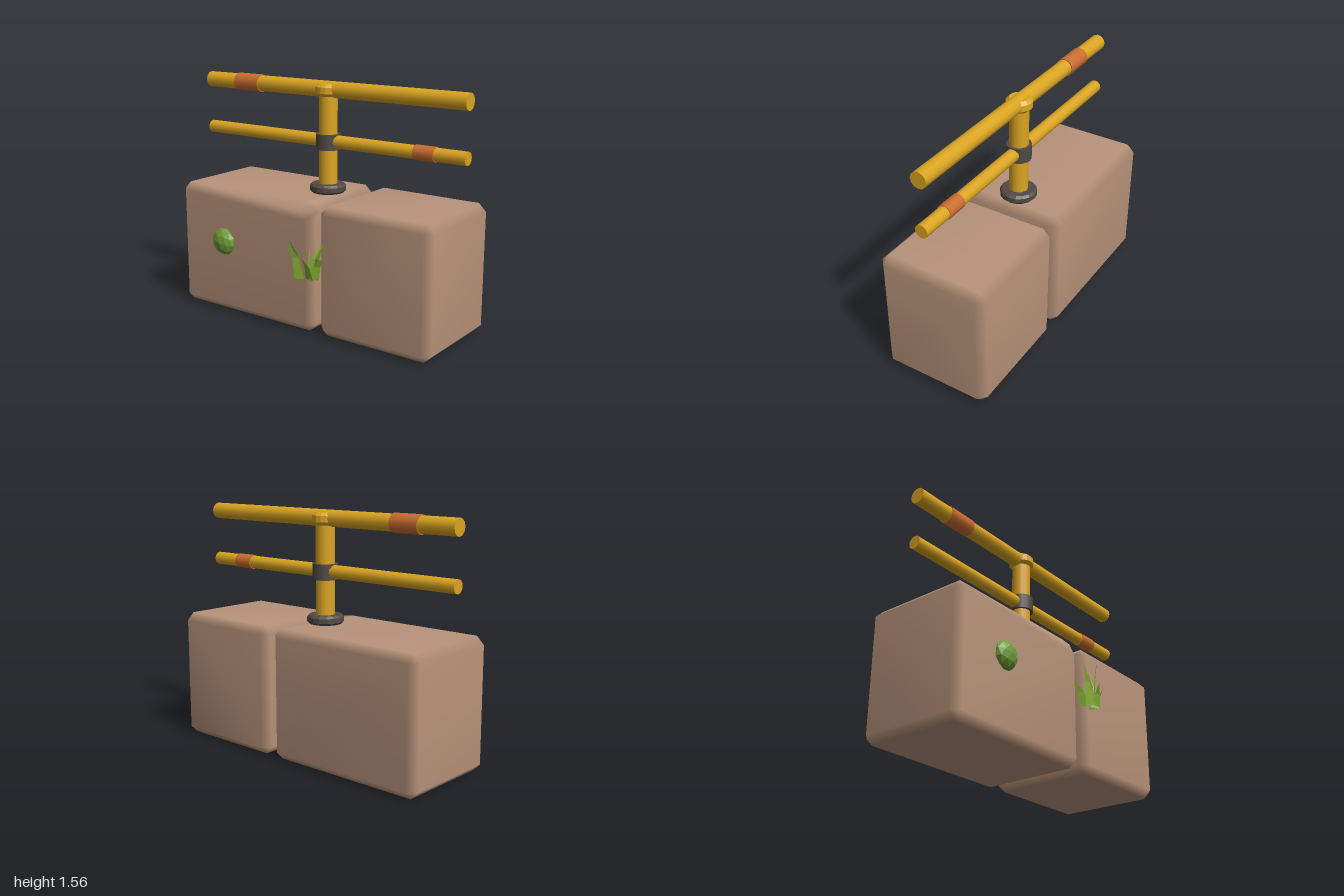
import * as THREE from 'three';
import { mergeVertices } from 'three/addons/utils/BufferGeometryUtils.js';
import { ConvexGeometry } from 'three/addons/geometries/ConvexGeometry.js';

const mat = (name, color, extra = {}) => {
  const m = new THREE.MeshStandardMaterial({ color, ...extra });
  m.name = name;
  return m;
};

export function createModel() {
  const stone = mat('stone', 0xb8937a);
  const yellow = mat('yellow paint', 0xdba521);
  const rust = mat('rust orange', 0xcb6e30);
  const iron = mat('dark iron', 0x514a44);
  const leaf = mat('bush green', 0x6f9e36, { flatShading: true });
  const blade = mat('grass green', 0x86b032, { side: THREE.DoubleSide, flatShading: true });

  const model = new THREE.Group();
  model.name = 'pipeRailing';
  const add = (name, geometry, material, x = 0, y = 0, z = 0) => {
    const mesh = new THREE.Mesh(geometry, material);
    mesh.name = name;
    mesh.position.set(x, y, z);
    model.add(mesh);
    return mesh;
  };

  // Bevelled stone blocks; area-weighted normals keep the big faces flat
  const bevel = 0.05;
  const block = (min, max, chipped) => {
    const pts = [];
    for (const sx of [0, 1]) for (const sy of [0, 1]) for (const sz of [0, 1]) {
      const s = [sx, sy, sz];
      const corner = (insets) => pts.push(new THREE.Vector3(
        ...s.map((v, i) => (v ? max[i] - insets[i] * bevel : min[i] + insets[i] * bevel))));
      if (chipped && sx && sy && sz) {
        // the chipped corner ends in a wide hexagon
        [[2, 1, 0], [1, 2, 0], [2, 0, 1], [1, 0, 2], [0, 1, 2], [0, 2, 1]].forEach(corner);
      } else {
        [[0, 1, 1], [1, 0, 1], [1, 1, 0]].forEach(corner);
      }
    }
    let g = new ConvexGeometry(pts);
    g.deleteAttribute('normal');
    g = mergeVertices(g);
    g.computeVertexNormals();
    return g;
  };
  add('wideBlock', block([-0.98, 0, -0.455], [0.135, 0.84, 0.27], true), stone);
  add('narrowBlock', block([0.18, 0, -0.455], [0.975, 0.84, 0.27], false), stone);

  // Horizontal rails with repair sleeves
  const axisZ = -0.093;
  const rail = (name, x0, x1, y, r, material) => {
    const g = new THREE.CylinderGeometry(r, r, x1 - x0, 12);
    g.rotateZ(Math.PI / 2);
    add(name, g, material, (x0 + x1) / 2, y, axisZ);
  };
  rail('topRail', -1, 1, 1.505, 0.053, yellow);
  rail('topRailSleeve', -0.745, -0.545, 1.505, 0.059, rust);
  rail('middleRail', -1, 1, 1.175, 0.043, yellow);
  rail('middleRailSleeve', 0.65, 0.79, 1.175, 0.048, rust);

  // Upright post and its fittings
  add('post', new THREE.CylinderGeometry(0.061, 0.061, 0.64, 16), yellow, 0, 1.16, axisZ);
  add('collar', new THREE.CylinderGeometry(0.08, 0.08, 0.1, 16), iron, 0, 1.172, axisZ);
  const disc = (r, h, b) => {
    const p = [[0, 0], [r - b, 0], [r, b], [r, h - b], [r - b, h], [0, h]];
    const g = new THREE.LatheGeometry(p.map(([x, y]) => new THREE.Vector2(x, y)), 16).toNonIndexed();
    g.computeVertexNormals();
    return g;
  };
  add('postCap', disc(0.083, 0.08, 0.02), yellow, 0, 1.462, axisZ);
  add('flange', disc(0.118, 0.058, 0.014), iron, 0, 0.842, axisZ);

  // Round bush growing from the wall
  const bush = add('bush', new THREE.IcosahedronGeometry(1, 1), leaf, -0.587, 0.487, 0.27);
  bush.scale.set(0.09, 0.092, 0.056);
  bush.rotation.z = 0.35;

  // Grass tuft: [base x, base z, tip x, tip y, tip z, width, width angle]
  const blades = [
    [0.12, 0.36, 0.04, 0.645, 0.37, 0.055, 0.3],
    [0.13, 0.38, 0.08, 0.65, 0.445, 0.06, -0.5],
    [0.15, 0.34, 0.12, 0.6, 0.35, 0.06, 0.9],
    [0.19, 0.36, 0.165, 0.54, 0.4, 0.06, 0.1],
    [0.22, 0.35, 0.29, 0.56, 0.35, 0.06, -0.6],
    [0.21, 0.33, 0.24, 0.625, 0.28, 0.065, 0.4],
    [0.17, 0.3, 0.2, 0.6, 0.25, 0.06, -0.3],
    [0.14, 0.3, 0.105, 0.58, 0.24, 0.055, 1.2],
    [0.22, 0.31, 0.24, 0.52, 0.34, 0.055, 1.3],
  ];
  const pos = [];
  for (const [bx, bz, tx, ty, tz, w, a] of blades) {
    const at = (t, side) => {
      const lean = t * t, half = side * w * (1 - t * t) / 2;
      return [bx + (tx - bx) * lean + half * Math.cos(a), 0.4 + (ty - 0.4) * t,
        bz + (tz - bz) * lean + half * Math.sin(a)];
    };
    const l0 = at(0, -1), r0 = at(0, 1), l1 = at(0.55, -1), r1 = at(0.55, 1), tip = at(1, 0);
    pos.push(...l0, ...r0, ...r1, ...l0, ...r1, ...l1, ...l1, ...r1, ...tip);
  }
  const grass = new THREE.BufferGeometry();
  grass.setAttribute('position', new THREE.Float32BufferAttribute(pos, 3));
  grass.computeVertexNormals();
  add('grassTuft', grass, blade);

  return model;
}
